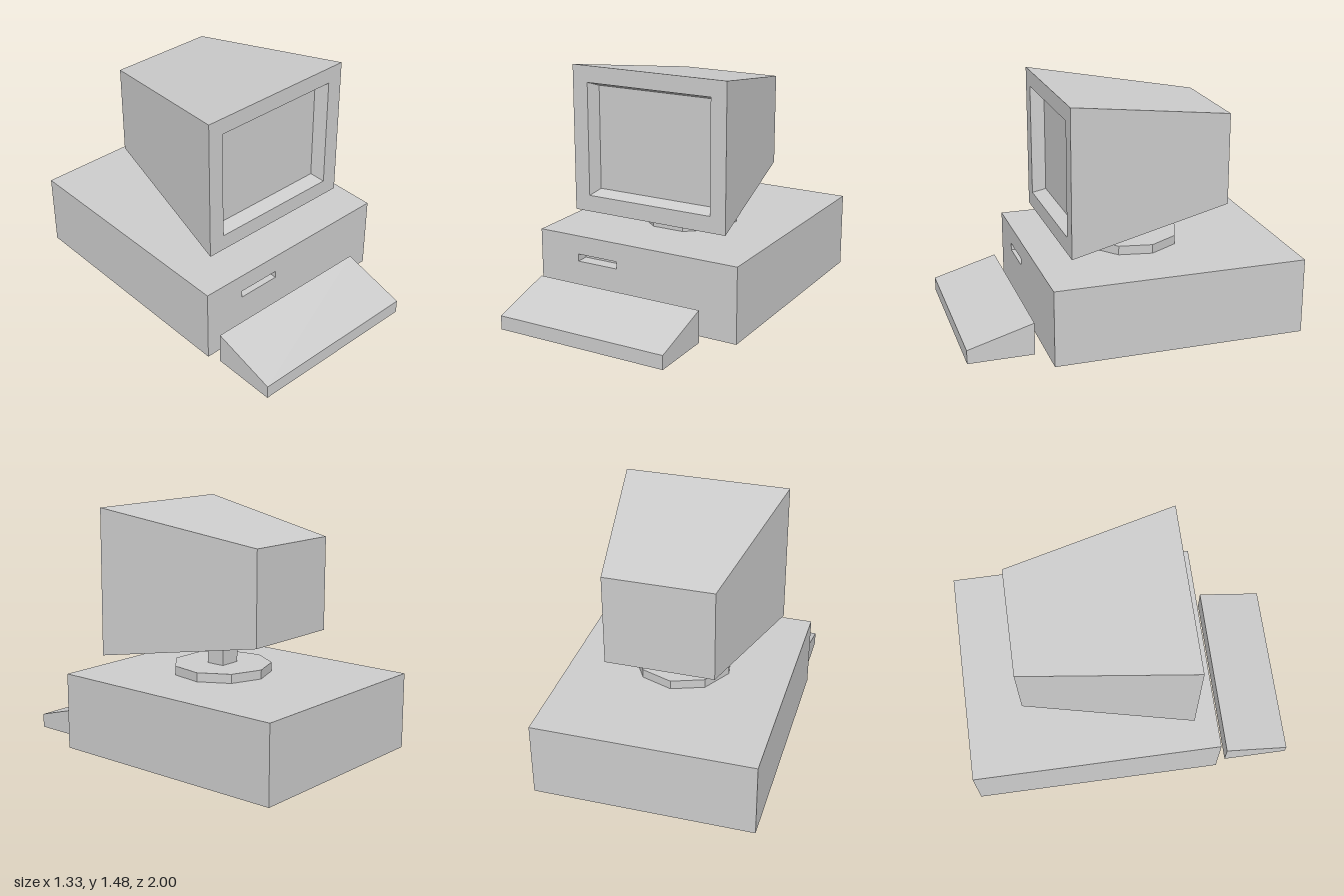
import * as THREE from 'three';

// Skins rectangular rings [x0, x1, y0, y1, z], listed from back to front, with both ends capped.
function loftRects(rings) {
  const corners = rings.map(([x0, x1, y0, y1, z]) => [[x0, y0, z], [x1, y0, z], [x1, y1, z], [x0, y1, z]]);
  const pos = [];
  const quad = (a, b, c, d) => pos.push(...a, ...b, ...c, ...a, ...c, ...d);
  for (let r = 0; r < corners.length - 1; r++) {
    const a = corners[r], b = corners[r + 1];
    for (let i = 0; i < 4; i++) {
      const j = (i + 1) % 4;
      quad(a[i], a[j], b[j], b[i]);
    }
  }
  quad(...corners[0].slice().reverse());
  quad(...corners[corners.length - 1]);
  const geo = new THREE.BufferGeometry();
  geo.setAttribute('position', new THREE.Float32BufferAttribute(pos, 3));
  geo.computeVertexNormals();
  return geo;
}

export function createModel() {
  const group = new THREE.Group();
  group.name = 'desktopComputer';
  const plastic = new THREE.MeshStandardMaterial({ color: 0xcccccc });
  plastic.name = 'lightGreyPlastic';

  const add = (name, geo, x = 0, y = 0, z = 0) => {
    const mesh = new THREE.Mesh(geo, plastic);
    mesh.name = name;
    mesh.position.set(x, y, z);
    group.add(mesh);
    return mesh;
  };

  // Flat case with a recessed disk slot
  add('case', loftRects([
    [-0.665, 0.665, 0.01, 0.475, -1],
    [-0.665, 0.665, 0.01, 0.475, 0.535],
    [-0.4, -0.13, 0.315, 0.36, 0.535],
    [-0.4, -0.13, 0.315, 0.36, 0.455],
  ]));

  // Monitor tapering to the back, with a bevelled screen recess
  add('monitor', loftRects([
    [-0.325, 0.325, 0.75, 1.31, -0.64],
    [-0.51, 0.51, 0.585, 1.475, 0.385],
    [-0.41, 0.41, 0.685, 1.375, 0.385],
    [-0.38, 0.38, 0.713, 1.347, 0.305],
  ]));

  // Wedge keyboard
  add('keyboard', loftRects([
    [-0.63, 0.46, 0, 0.2, 0.6],
    [-0.63, 0.46, 0, 0.085, 1],
  ]));

  // Nine-sided swivel base, a flat edge facing the front
  const disc = new THREE.CylinderGeometry(0.3, 0.3, 0.055, 9, 1, false, Math.PI / 9).toNonIndexed();
  disc.computeVertexNormals();
  add('swivelBase', disc, 0, 0.5025, -0.124);

  // Neck reaching into the underside of the monitor
  add('neck', new THREE.BoxGeometry(0.137, 0.17, 0.115), -0.002, 0.605, -0.126);

  return group;
}
